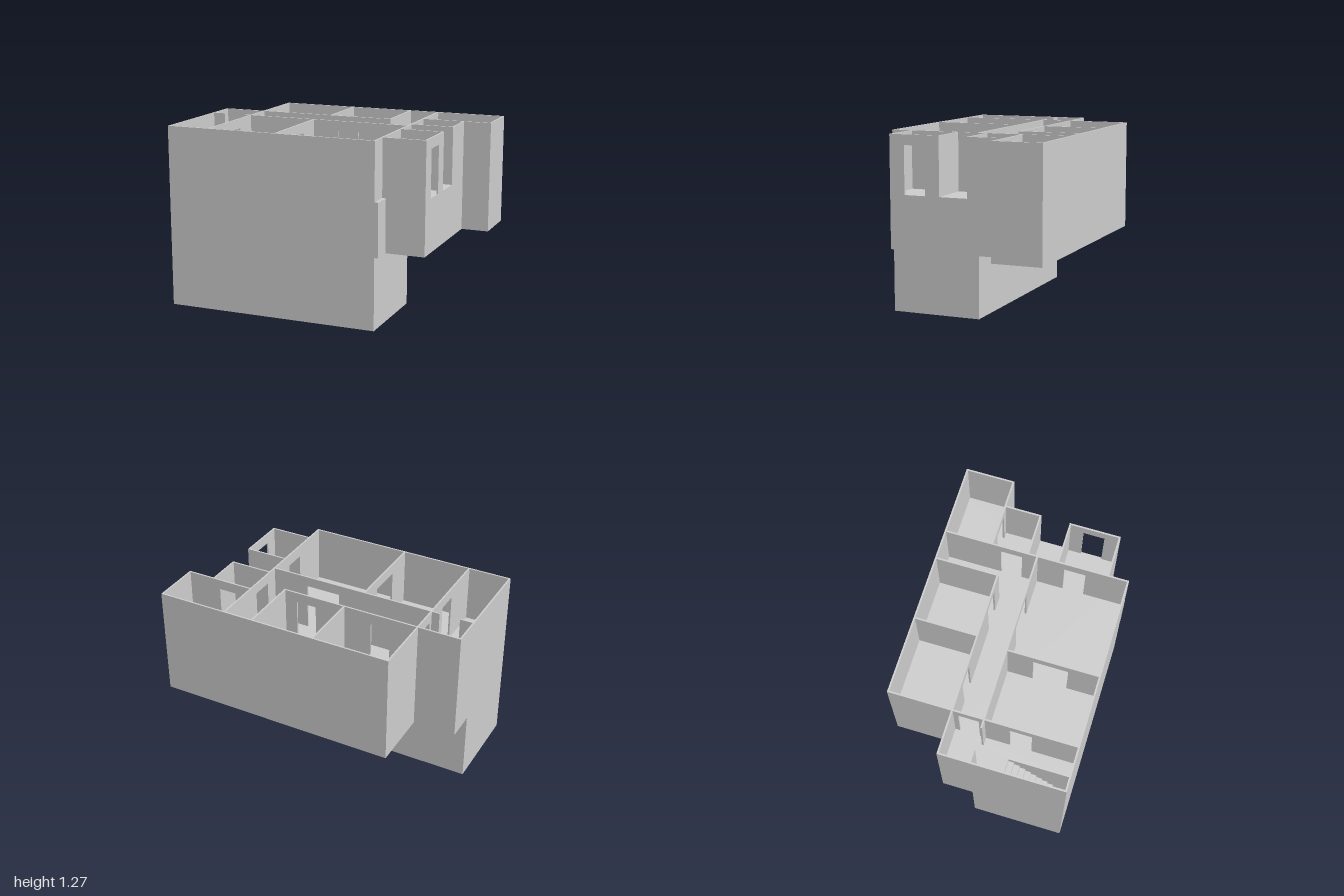
import * as THREE from 'three';

const FLOOR = 0.87, TOP = 1.27, GROUND = 0.5, T = 0.012;
const DOOR_H = 0.33;

export function createModel() {
  const house = new THREE.Group();
  house.name = 'house';
  const mat = new THREE.MeshStandardMaterial({ color: 0xcccccc, flatShading: true });

  const add = (name, geo, parent = house) => {
    const mesh = new THREE.Mesh(geo, mat);
    mesh.name = name;
    parent.add(mesh);
    return mesh;
  };
  const box = (name, x0, x1, y0, y1, z0, z1, parent) =>
    add(name, new THREE.BoxGeometry(x1 - x0, y1 - y0, z1 - z0), parent)
      .position.set((x0 + x1) / 2, (y0 + y1) / 2, (z0 + z1) / 2);

  // Wall outline from a to b, with doorways cut up from the floor
  const wallGeometry = (a, b, doors) => {
    const s = new THREE.Shape();
    s.moveTo(a, 0);
    for (const [d0, d1, h = DOOR_H] of doors) {
      s.lineTo(d0, 0);
      s.lineTo(d0, h);
      s.lineTo(d1, h);
      s.lineTo(d1, 0);
    }
    s.lineTo(b, 0);
    s.lineTo(b, TOP - FLOOR);
    s.lineTo(a, TOP - FLOOR);
    return new THREE.ExtrudeGeometry(s, { depth: T, bevelEnabled: false });
  };
  const walls = new THREE.Group();
  walls.name = 'walls';
  house.add(walls);
  // Wall running along x, its back face at z
  const wallX = (name, z, x0, x1, doors = []) =>
    add(name, wallGeometry(x0, x1, doors), walls).position.set(0, FLOOR, z);
  // Wall running along z, its -x face at x
  const wallZ = (name, x, z0, z1, doors = []) => {
    const flipped = doors.map(([a, b, h]) => [-b, -a, h]).reverse();
    const geo = wallGeometry(-z1, -z0, flipped).rotateY(Math.PI / 2);
    add(name, geo, walls).position.set(x, FLOOR, 0);
  };

  // Lower storey
  box('lowerStorey', -1, 0.51, 0, GROUND, 0, 0.645);

  // Thick floor following the plan, with a stairwell hole
  const plan = [
    [-1, -0.215], [-0.7, -0.215], [-0.7, -0.65], [1, -0.65], [1, -0.305], [0.807, -0.305],
    [0.807, 0.507], [0.535, 0.507], [0.535, 0.645], [-1, 0.645],
  ].map(([x, z]) => new THREE.Vector2(x, z));
  const slab = new THREE.Shape(plan);
  slab.holes.push(new THREE.Path([
    [-0.988, 0.2], [-0.8, 0.2], [-0.8, 0.633], [-0.988, 0.633],
  ].map(([x, z]) => new THREE.Vector2(x, z))));
  add('floorSlab', new THREE.ExtrudeGeometry(slab, { depth: FLOOR - GROUND, bevelEnabled: false })
    .rotateX(Math.PI / 2)).position.y = FLOOR;

  // Stairs going down towards the front
  const stairs = new THREE.Group();
  stairs.name = 'stairs';
  house.add(stairs);
  const steps = 8, rise = (FLOOR - GROUND) / (steps + 1);
  for (let i = 0; i < steps; i++) {
    box('step', -0.988, -0.8, GROUND, FLOOR - rise * (i + 1), 0.2 + i * 0.04, 0.24 + i * 0.04, stairs);
  }

  // Outer walls
  wallX('frontWall', 0.645 - T, -1, 0.51);
  wallX('backWall', -0.65, -0.7, 1);
  wallZ('stairHallSideWall', -1, -0.215, 0.645);
  wallX('stairHallBackWall', -0.215, -1, -0.7);
  wallZ('backRoomSideWall', -0.7, -0.65, -0.203);
  wallZ('backWingSideWall', 1 - T, -0.65, -0.305);
  wallX('backWingFrontWall', -0.305 - T, 0.5, 1, [[0.6, 0.75]]);
  wallZ('smallRoomOuterWall', 0.807 - T, -0.305, -0.053);
  wallZ('sideRoomOuterWall', 0.807 - T, 0.147, 0.507, [[0.25, 0.4]]);
  wallX('sideRoomFrontWall', 0.507 - T, 0.5, 0.807);

  // Inner walls along x
  wallX('corridorBackWall', -0.215, -0.7, 0.3, [[-0.5, -0.36], [0.055, 0.2]]);
  wallX('corridorFrontWall', 0, -0.7, 0.51, [[-0.01, 0.24]]);
  wallX('hallStubLeft', 0, -1, -0.9);
  wallX('hallStubRight', 0, -0.755, -0.7);
  wallX('porchBackWall', -0.065, 0.5, 0.807);
  wallX('porchFrontWall', 0.147, 0.5, 0.807);

  // Inner walls along z
  wallZ('stairHallInnerWall', -0.7, -0.215, 0.645, [[-0.17, -0.03], [0.18, 0.33]]);
  wallZ('frontRoomsPartition', -0.205, 0, 0.645, [[0.19, 0.43]]);
  wallZ('backRoomsPartition', -0.165, -0.65, -0.203);
  wallZ('corridorEndPartition', 0.288, -0.65, -0.203);
  wallZ('mainSideWall', 0.498, -0.65, 0.645, [[-0.25, -0.1], [0.2, 0.35, 0.32]]);

  return house;
}
